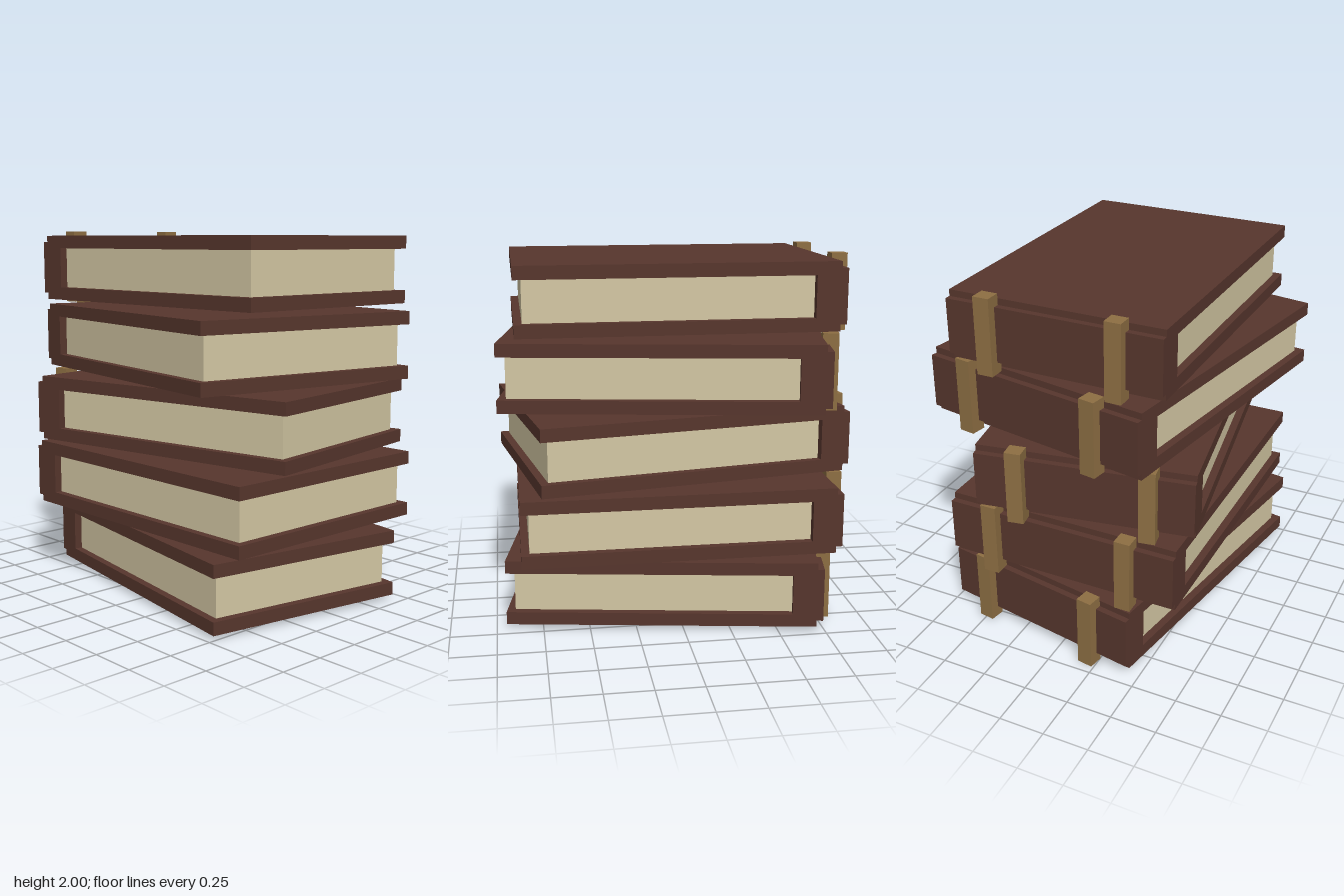
import * as THREE from 'three';

const leather = new THREE.MeshStandardMaterial({ color: 0x57362d });
leather.name = 'brown leather';
const paper = new THREE.MeshStandardMaterial({ color: 0xd4c8a4 });
paper.name = 'cream paper';
const brass = new THREE.MeshStandardMaterial({ color: 0x8e6f43 });
brass.name = 'tan band';

// Box given by its extents in x and its centred height and depth
function slab(name, material, x0, x1, height, depth, y = 0, z = 0) {
  const mesh = new THREE.Mesh(new THREE.BoxGeometry(x1 - x0, height, depth), material);
  mesh.name = name;
  mesh.position.set((x0 + x1) / 2, y, z);
  return mesh;
}

// One closed book lying flat, spine towards -x
function makeBook(depth) {
  const book = new THREE.Group();
  book.add(slab('topCover', leather, -0.815, 0.86, 0.07, depth, 0.146));
  book.add(slab('bottomCover', leather, -0.815, 0.86, 0.07, depth, -0.146));
  book.add(slab('spine', leather, -0.85, -0.685, 0.292, depth));
  book.add(slab('pages', paper, -0.685, 0.817, 0.222, depth - 0.085));
  // Raised bands across the spine
  for (const side of [-1, 1]) {
    book.add(slab('spineBand', brass, -0.9, -0.815, 0.411, 0.088, 0, side * depth * 0.3));
  }
  return book;
}

export function createModel() {
  const stack = new THREE.Group();
  stack.name = 'bookStack';
  // Depth and twist of each book, from the bottom up
  const books = [[1.17, -0.17], [1.312, 0], [1.17, 0.17], [1.312, -0.17], [1.17, 0]];
  books.forEach(([depth, twist], i) => {
    const book = makeBook(depth);
    book.name = `book${i + 1}`;
    book.position.y = 0.2075 + i * 0.39625;
    book.rotation.y = twist;
    stack.add(book);
  });
  return stack;
}
